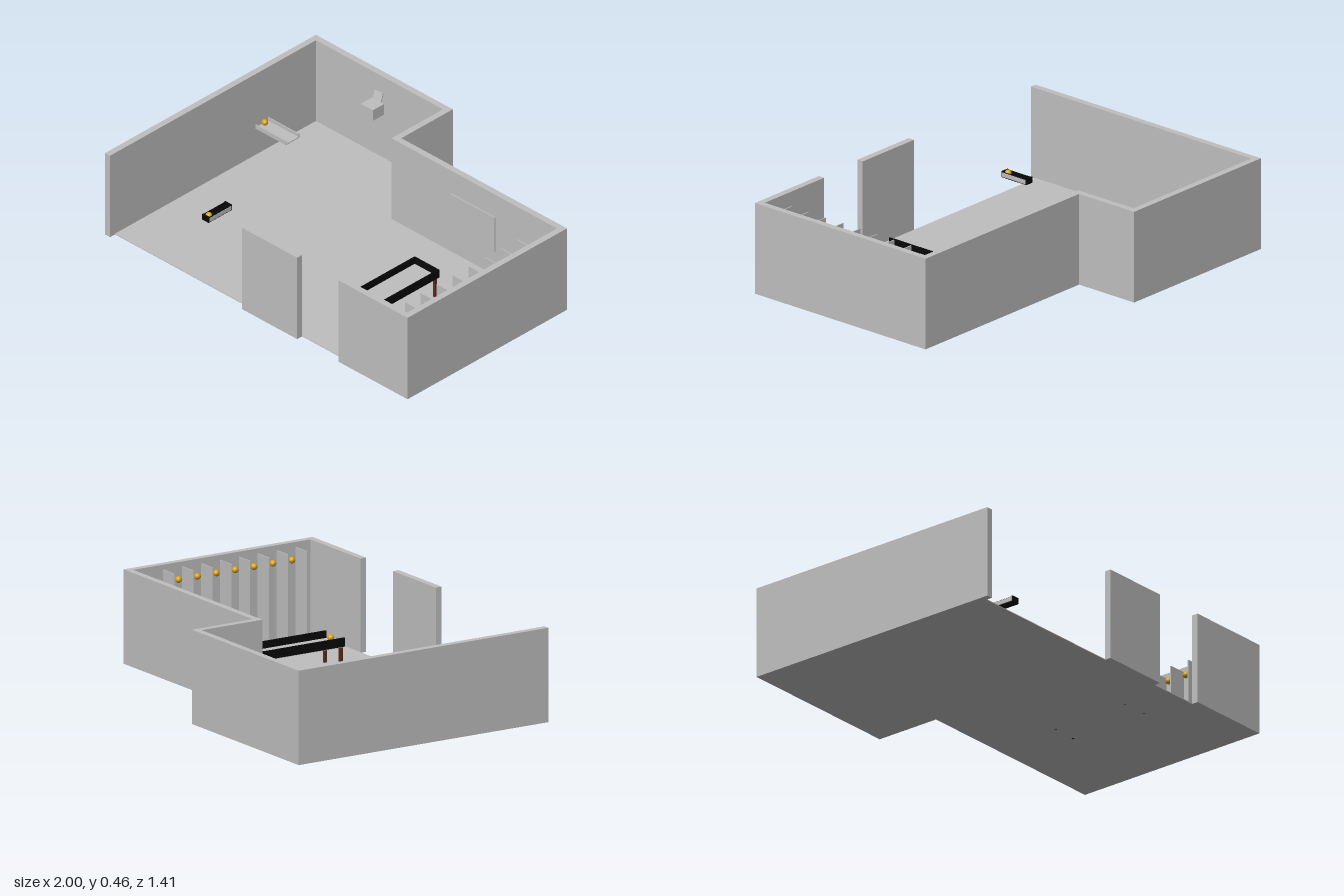
import * as THREE from 'three';

const mat = (name, color) => {
  const m = new THREE.MeshStandardMaterial({ color });
  m.name = name;
  return m;
};

export function createModel() {
  const gray = mat('plainGray', 0xbebebe);
  const black = mat('black', 0x080808);
  const brown = mat('legBrown', 0x5a2a1c);
  const gold = mat('gold', 0xd9a006);
  const model = new THREE.Group();
  model.name = 'room';

  const group = (name) => {
    const g = new THREE.Group();
    g.name = name;
    model.add(g);
    return g;
  };
  // Box given by its minimum and maximum corners
  const box = (parent, name, material, [x0, y0, z0], [x1, y1, z1]) => {
    const m = new THREE.Mesh(new THREE.BoxGeometry(x1 - x0, y1 - y0, z1 - z0), material);
    m.position.set((x0 + x1) / 2, (y0 + y1) / 2, (z0 + z1) / 2);
    m.name = name;
    parent.add(m);
    return m;
  };
  const ballGeometry = new THREE.SphereGeometry(0.016, 20, 14);
  const ball = (parent, x, y, z) => {
    const m = new THREE.Mesh(ballGeometry, gold);
    m.position.set(x, y, z);
    m.name = 'ball';
    parent.add(m);
  };
  // Upright extrusion of a floor plan given as [x, z] points
  const plan = (name, points, height) => {
    const shape = new THREE.Shape(points.map(([x, z]) => new THREE.Vector2(x, -z)));
    const geometry = new THREE.ExtrudeGeometry(shape, { depth: height, bevelEnabled: false });
    geometry.rotateX(-Math.PI / 2);
    const m = new THREE.Mesh(geometry, gray);
    m.name = name;
    model.add(m);
  };

  // Floor and outer walls
  const H = 0.46, L = -0.967, R = 0.967, S = -0.128;
  plan('floor', [[L, 0.672], [R, 0.672], [R, -0.332], [S, -0.332], [S, -0.677], [L, -0.677]], 0.004);
  plan('outerWall', [
    [-1, 0.705], [-1, -0.71], [-0.095, -0.71], [-0.095, -0.365], [1, -0.365], [1, 0.705],
    [0.545, 0.705], [0.545, 0.672], [R, 0.672], [R, -0.332], [S, -0.332], [S, -0.677],
    [L, -0.677], [L, 0.705],
  ], H);
  box(model, 'frontWall', gray, [-0.095, 0, 0.672], [0.27, H, 0.705]);
  box(model, 'wallBoard', gray, [0.27, 0.14, -0.332], [0.56, 0.333, -0.326]);

  // Row of stalls along the right-hand wall
  const stalls = group('stalls');
  for (let i = 0; i < 8; i++) {
    const z = -0.16 + i * 0.107;
    box(stalls, 'partition', gray, [0.87, 0.004, z - 0.0025], [R, 0.435, z + 0.0025]);
    ball(stalls, 0.92, 0.39, z - 0.054);
  }

  // Table with three raised sides and an open front
  const table = group('table');
  box(table, 'tableTop', gray, [0.338, 0.108, -0.015], [0.492, 0.12, 0.443]);
  for (const x of [0.333, 0.489]) {
    box(table, 'sideRail', black, [x, 0.112, -0.02], [x + 0.008, 0.155, 0.443]);
  }
  box(table, 'backRail', black, [0.341, 0.112, -0.02], [0.489, 0.155, -0.012]);
  for (const x of [0.349, 0.483]) {
    for (const z of [-0.005, 0.43]) {
      box(table, 'tableLeg', brown, [x - 0.007, 0, z - 0.007], [x + 0.007, 0.108, z + 0.007]);
    }
  }
  ball(table, 0.418, 0.14, 0.42);

  // Trough fixed to the left-hand wall
  const trough = group('wallTrough');
  box(trough, 'troughBase', gray, [L, 0.153, -0.36], [-0.765, 0.158, -0.27]);
  for (const z of [-0.36, -0.274]) {
    box(trough, 'troughRail', gray, [L, 0.158, z], [-0.765, 0.176, z + 0.004]);
  }
  ball(trough, -0.95, 0.175, -0.317);

  // Small hanging tray with pale sides
  const tray = group('tray');
  box(tray, 'trayBase', black, [-0.564, 0.19, 0.34], [-0.52, 0.2, 0.497]);
  for (const z of [0.34, 0.489]) {
    box(tray, 'trayEnd', black, [-0.564, 0.2, z], [-0.52, 0.22, z + 0.008]);
  }
  for (const x of [-0.564, -0.525]) {
    box(tray, 'traySide', black, [x, 0.2, 0.348], [x + 0.005, 0.217, 0.489]);
  }
  for (const x of [-0.566, -0.52]) {
    box(tray, 'traySidePlate', gray, [x, 0.194, 0.345], [x + 0.002, 0.215, 0.492]);
  }
  ball(tray, -0.542, 0.212, 0.473);

  // Box with a tilted panel on the back wall
  const basin = group('wallBox');
  box(basin, 'boxBody', gray, [-0.585, 0.26, -0.665], [-0.505, 0.32, -0.59]);
  box(basin, 'boxBracket', gray, [-0.56, 0.28, -0.677], [-0.53, 0.31, -0.665]);
  const panel = box(basin, 'tiltedPanel', gray, [-0.573, 0.323, -0.669], [-0.519, 0.37, -0.664]);
  panel.rotation.x = -0.3;

  return model;
}
